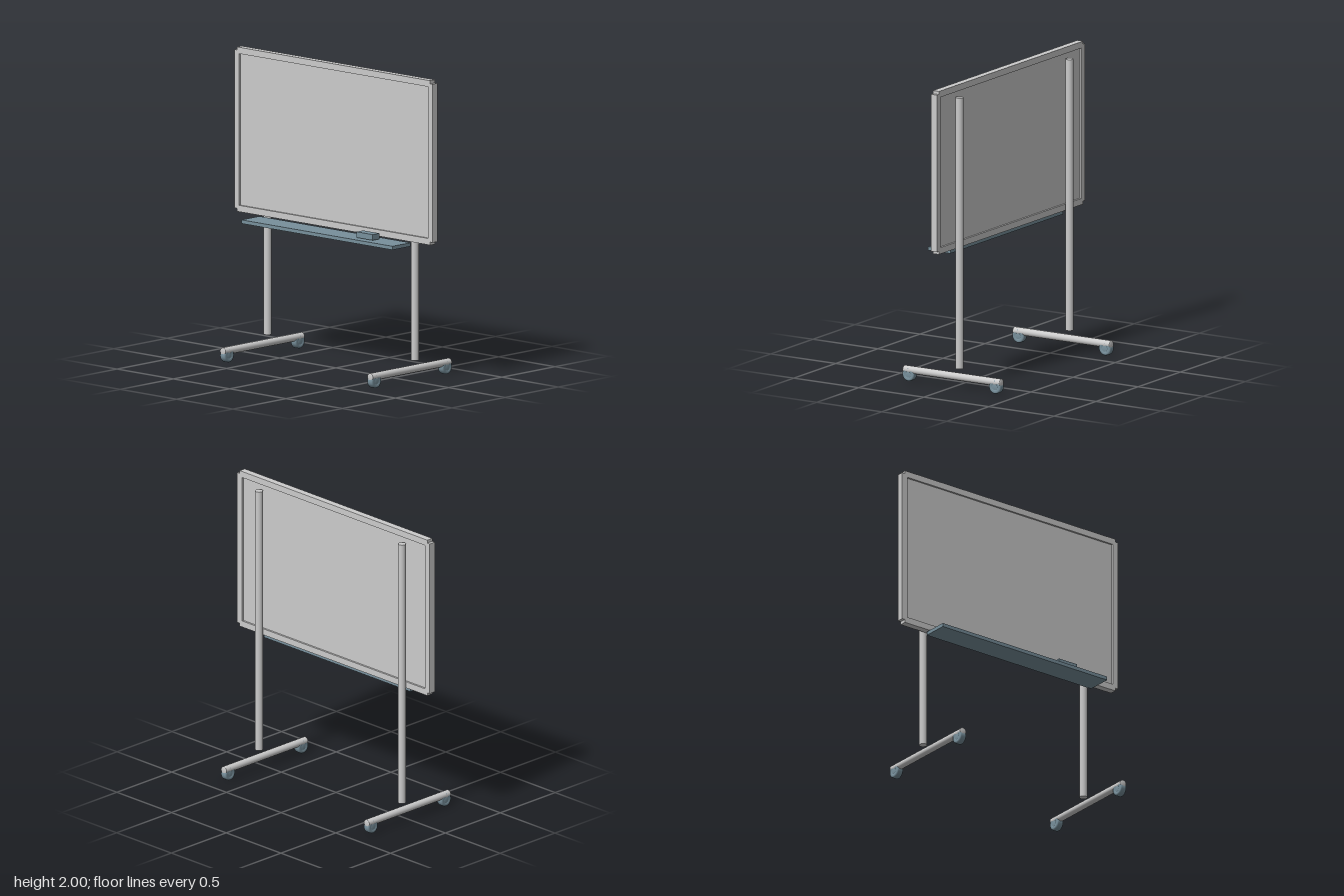
import * as THREE from 'three';

const grey = new THREE.MeshStandardMaterial({ color: 0xcccccc });
const slate = new THREE.MeshStandardMaterial({ color: 0x78909c });

export function createModel() {
  const model = new THREE.Group();

  const add = (name, geometry, material, x, y, z) => {
    const mesh = new THREE.Mesh(geometry, material);
    mesh.name = name;
    mesh.position.set(x, y, z);
    model.add(mesh);
    return mesh;
  };
  const box = (name, w, h, d, x, y, z, material = grey) =>
    add(name, new THREE.BoxGeometry(w, h, d), material, x, y, z);

  // Writing panel, recessed inside the frame on both faces
  box('panel', 1.69, 1.01, 0.02, 0, 1.46, 0);

  // Frame rails, stopping short so the corners are notched
  box('topRail', 1.715, 0.042, 0.046, 0, 1.979, 0);
  box('bottomRail', 1.715, 0.042, 0.046, 0, 0.941, 0);

  // Pen tray and eraser
  box('tray', 1.34, 0.024, 0.17, 0, 0.898, 0.095, slate);
  box('eraser', 0.144, 0.038, 0.063, 0.383, 0.934, 0.106, slate);

  // Caster profile (radius, half width): flat hub, raised rim, rounded tread
  const rim = [[0, 0.022], [0.02, 0.022], [0.02, 0.019], [0.024, 0.0235], [0.036, 0.0235], [0.042, 0.021], [0.045, 0.016]];
  const profile = [
    ...rim.map(([r, w]) => new THREE.Vector2(r, -w)),
    ...rim.toReversed().map(([r, w]) => new THREE.Vector2(r, w)),
  ];
  const wheel = new THREE.LatheGeometry(profile, 28);

  // Foot tube with slightly eased ends
  const foot = new THREE.LatheGeometry(
    [[0, -0.376], [0.02, -0.376], [0.0245, -0.371], [0.0245, -0.37], [0.0245, 0.37], [0.0245, 0.371], [0.02, 0.376], [0, 0.376]]
      .map(([r, y]) => new THREE.Vector2(r, y)), 28);

  // Uprights, side rails, feet and casters, mirrored left and right
  for (const s of [-1, 1]) {
    const side = s > 0 ? 'left' : 'right';
    box(side + 'Rail', 0.042, 1.04, 0.046, s * 0.859, 1.46, 0);
    add(side + 'Post', new THREE.CylinderGeometry(0.026, 0.026, 1.795, 28), grey, s * 0.653, 1.0275, -0.05);
    add(side + 'Foot', foot, grey, s * 0.653, 0.074, 0).rotation.x = Math.PI / 2;
    for (const z of [-0.333, 0.333]) {
      const end = z > 0 ? 'Front' : 'Rear';
      add(side + end + 'Wheel', wheel, slate, s * 0.653, 0.045, z).rotation.z = Math.PI / 2;
    }
  }
  return model;
}
